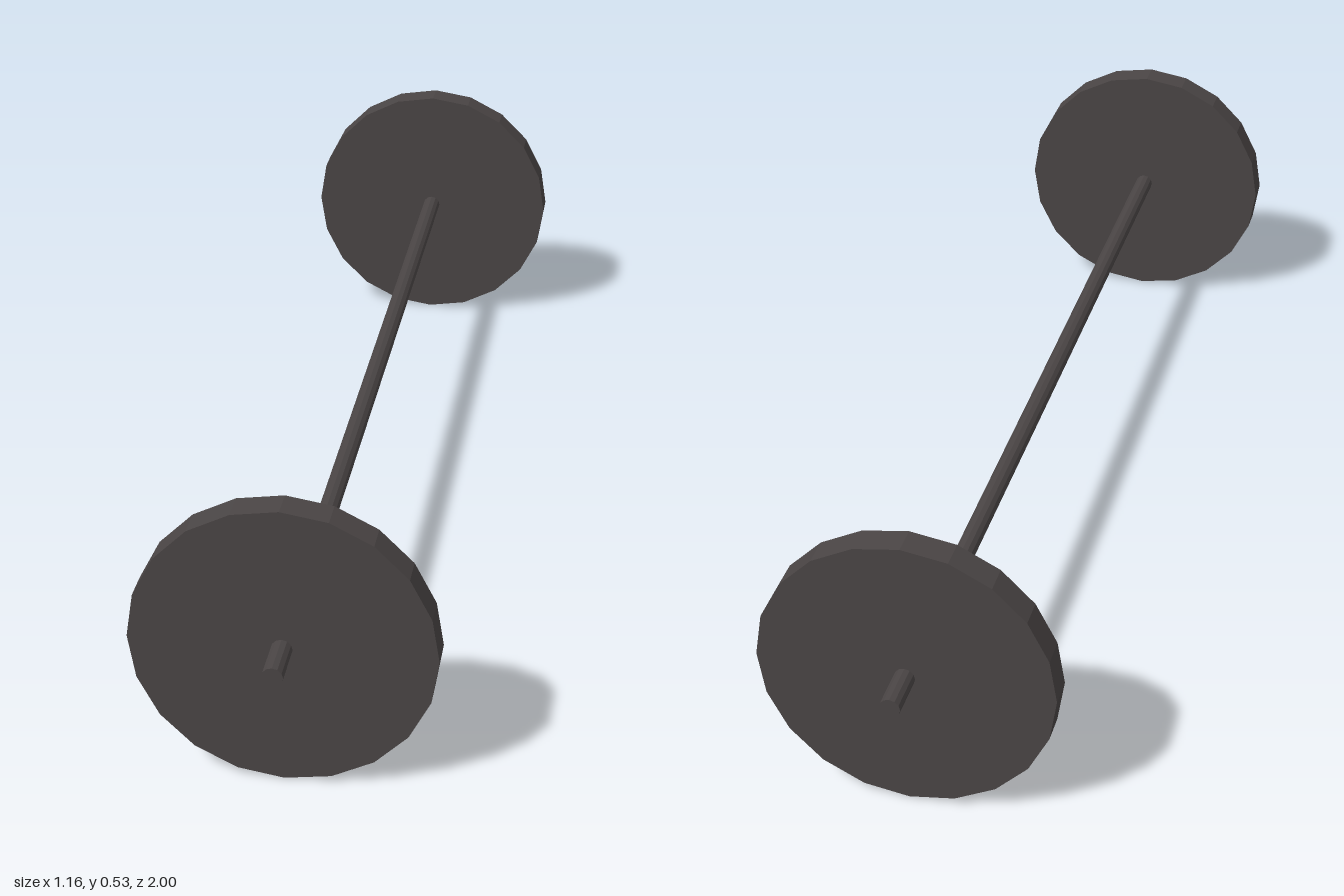
import * as THREE from 'three';

export function createModel() {
  const group = new THREE.Group();
  group.name = 'barbell';
  const iron = new THREE.MeshStandardMaterial({ color: 0x4a4545, flatShading: true });
  iron.name = 'dark iron';

  const radius = 0.265;
  const axle = new THREE.Group();
  axle.name = 'axle';
  axle.position.y = radius;
  axle.rotation.y = THREE.MathUtils.degToRad(20.1); // set diagonally on the ground
  group.add(axle);

  // Cylinder laid along z
  const rod = (name, r, length, sides, z) => {
    const geometry = new THREE.CylinderGeometry(r, r, length, sides).rotateX(Math.PI / 2);
    const mesh = new THREE.Mesh(geometry, iron);
    mesh.name = name;
    mesh.position.z = z;
    axle.add(mesh);
  };

  rod('bar', 0.0185, 2.108, 12, 0);
  // One weight disc near each end
  rod('frontWeight', radius, 0.054, 20, 0.943);
  rod('backWeight', radius, 0.054, 20, -0.943);

  return group;
}
